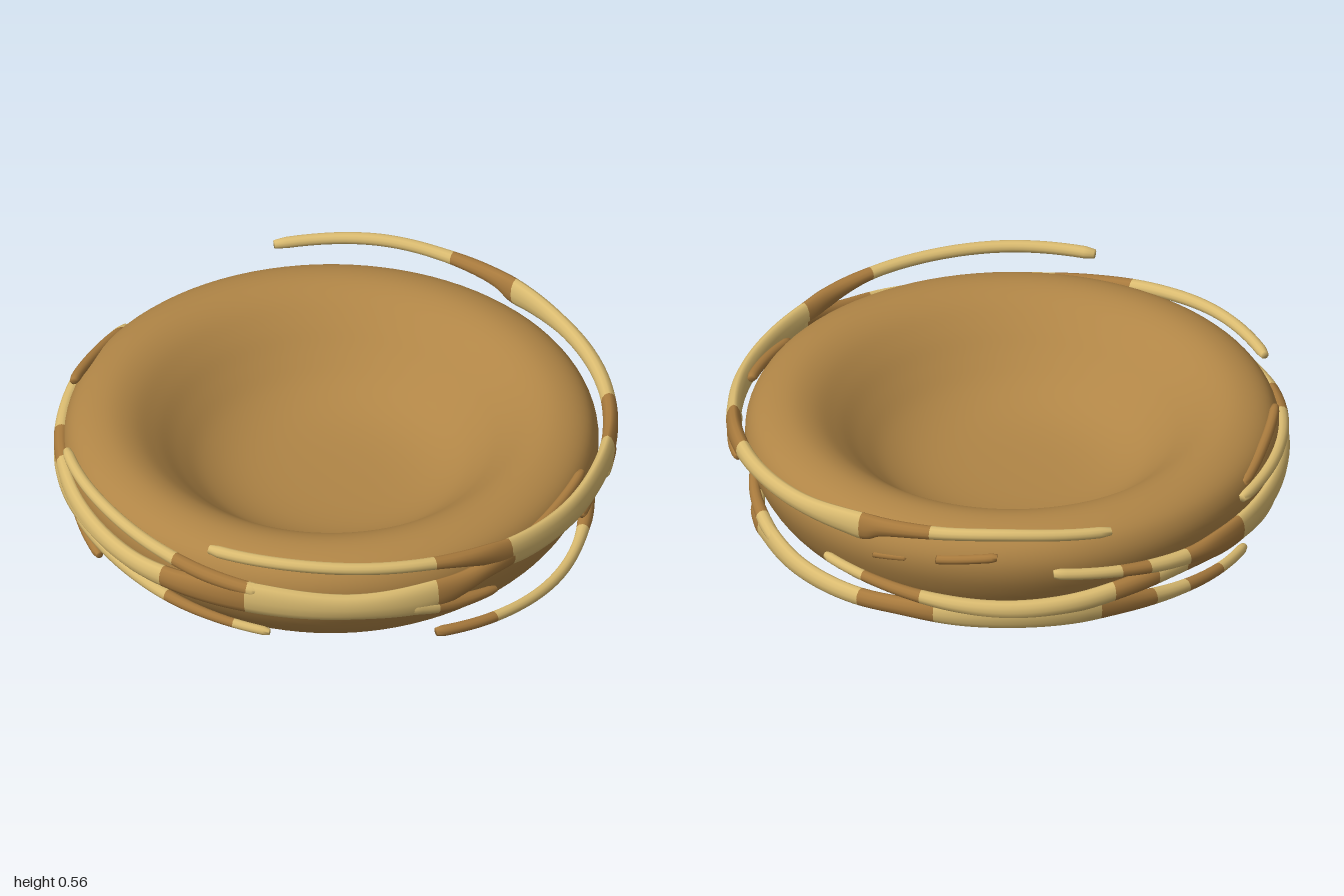
import * as THREE from 'three';

const mat = (name, color) => {
  const m = new THREE.MeshStandardMaterial({ color });
  m.name = name;
  return m;
};

export function createModel() {
  const model = new THREE.Group();
  const bowlTan = mat('bowl tan', 0xb08546);
  const paleStraw = mat('pale straw', 0xdabb70);
  const brownBark = mat('brown bark', 0xa87a3d);

  // Rounded bowl with a thick rolled rim
  const outline = [
    [0, 0], [0.3, 0.001], [0.5, 0.004], [0.62, 0.022], [0.74, 0.077], [0.86, 0.182], [0.925, 0.295],
    [0.943, 0.385], [0.918, 0.455], [0.86, 0.495], [0.78, 0.507], [0.7, 0.483], [0.62, 0.425],
    [0.54, 0.35], [0.45, 0.278], [0.34, 0.23], [0.2, 0.207], [0, 0.2],
  ].map(([x, y]) => new THREE.Vector2(x, y));
  const profile = new THREE.SplineCurve(outline).getPoints(80);
  profile.forEach((p) => { p.x = Math.max(p.x, 0); p.y = Math.max(p.y, 0); });
  const bowl = new THREE.Mesh(new THREE.LatheGeometry(profile, 96), bowlTan);
  bowl.name = 'bowl';
  bowl.position.set(-0.012, 0, -0.01);
  model.add(bowl);

  // A branch bent round the bowl. Points are [angle, height, half height, radius];
  // angle 0 is the front, 90 is +x. The colour flips at each angle in cuts.
  const branch = (name, points, cuts = [], startBrown = false) => {
    const path = new THREE.CatmullRomCurve3(
      points.map(([a, y, h]) => new THREE.Vector3(a, y, h)), false, 'catmullrom', 0.5);
    const radii = new THREE.CatmullRomCurve3(
      points.map((p) => new THREE.Vector3(p[3] ?? 0.965, 0, 0)), false, 'catmullrom', 0.5);
    const span = points[points.length - 1][0] - points[0][0];
    const steps = Math.max(12, Math.round(span / 1.5));
    const sides = 12;
    const pos = [], index = [], angles = [];
    const put = (a, r, y) => pos.push(r * Math.sin(a), y, r * Math.cos(a));
    for (let i = 0; i <= steps; i++) {
      const p = path.getPoint(i / steps), r = radii.getPoint(i / steps).x;
      const a = THREE.MathUtils.degToRad(p.x);
      const tip = i === 0 || i === steps ? 0.75 : 1;
      const h = p.z * tip, w = Math.min(p.z, 0.027) * tip;
      angles.push(p.x);
      for (let k = 0; k < sides; k++) {
        const t = (k / sides) * Math.PI * 2;
        put(a, r + w * Math.cos(t), p.y + h * Math.sin(t));
      }
    }
    const geo = new THREE.BufferGeometry();
    for (let i = 0; i < steps; i++) {
      const start = index.length;
      for (let k = 0; k < sides; k++) {
        const a = i * sides + k, b = i * sides + (k + 1) % sides;
        const c = a + sides, d = b + sides;
        index.push(a, c, b, b, c, d);
        // Flat end caps
        if (k > 0 && k < sides - 1) {
          if (i === 0) index.push(0, k, k + 1);
          if (i === steps - 1) index.push(steps * sides, steps * sides + k + 1, steps * sides + k);
        }
      }
      const mid = (angles[i] + angles[i + 1]) / 2;
      const flips = cuts.filter((c) => c < mid).length + (startBrown ? 1 : 0);
      geo.addGroup(start, index.length - start, flips % 2);
    }
    geo.setAttribute('position', new THREE.Float32BufferAttribute(pos, 3));
    geo.setIndex(index);
    geo.computeVertexNormals();
    const mesh = new THREE.Mesh(geo, [paleStraw, brownBark]);
    mesh.name = name;
    model.add(mesh);
  };

  // Upper branch, from the front right round the left side to the back
  branch('upperBranch', [
    [-49, 0.537, 0.022], [-30, 0.538, 0.022], [-10, 0.52, 0.022], [2, 0.502, 0.025],
    [12, 0.472, 0.042], [19, 0.442, 0.058], [35, 0.433, 0.055], [50, 0.435, 0.06],
    [62, 0.433, 0.06, 0.968], [70, 0.452, 0.045, 0.97], [82, 0.462, 0.034, 0.97], [100, 0.472, 0.036, 0.968],
    [112, 0.483, 0.048], [118, 0.488, 0.053], [123, 0.508, 0.034], [134, 0.526, 0.024],
    [150, 0.541, 0.022, 0.97], [171, 0.522, 0.02, 0.98],
  ], [0, 18, 60, 75, 117, 133]);
  branch('upperBranchFork', [[55, 0.4, 0.038], [62, 0.385, 0.034], [69, 0.365, 0.018]], [60]);

  // Middle branch, from the back round the right side to the front
  branch('middleBranch', [
    [208, 0.405, 0.02], [225, 0.402, 0.022], [245, 0.385, 0.026], [255, 0.37, 0.035],
    [270, 0.345, 0.042], [290, 0.335, 0.038], [302, 0.345, 0.045], [312, 0.36, 0.058],
    [322, 0.37, 0.065], [342, 0.362, 0.053], [358, 0.365, 0.065], [366, 0.388, 0.048],
    [372, 0.415, 0.04], [380, 0.44, 0.05],
  ], [246, 255, 300, 320, 360, 378]);
  branch('middleBranchFork', [[354, 0.34, 0.035], [363, 0.315, 0.028], [375, 0.29, 0.016, 0.945]], [360]);
  branch('sideTwig', [
    [260, 0.475, 0.02], [280, 0.475, 0.022], [298, 0.448, 0.024], [310, 0.422, 0.027], [322, 0.405, 0.025],
  ], [302, 320]);
  branch('sideLowerTwig', [
    [270, 0.32, 0.03], [285, 0.3, 0.028], [300, 0.255, 0.022, 0.955], [312, 0.23, 0.018, 0.945],
    [324, 0.21, 0.016, 0.935],
  ], [300, 316]);

  // Back branch that joins the middle one
  branch('backBranch', [
    [159, 0.365, 0.02, 0.96], [175, 0.335, 0.022], [190, 0.305, 0.032], [200, 0.295, 0.05],
    [215, 0.298, 0.05], [240, 0.315, 0.042], [265, 0.33, 0.035], [285, 0.335, 0.03],
  ], [174, 180, 190, 206]);
  branch('backLowerTwig', [
    [198, 0.28, 0.035, 0.955], [215, 0.252, 0.028, 0.95], [235, 0.222, 0.024, 0.935],
    [256, 0.165, 0.02, 0.915], [271, 0.13, 0.018, 0.9],
  ], [206, 252], true);

  // Lower branch, from the front round the left side to the back
  branch('lowerBranch', [
    [3, 0.11, 0.02, 0.85], [20, 0.09, 0.02, 0.865], [40, 0.07, 0.02, 0.875], [58, 0.075, 0.022, 0.88],
    [72, 0.11, 0.038, 0.89], [80, 0.136, 0.047, 0.895], [95, 0.136, 0.038, 0.902], [112, 0.148, 0.034, 0.912],
    [125, 0.172, 0.035, 0.925], [138, 0.188, 0.048, 0.94], [152, 0.198, 0.056, 0.945],
    [164, 0.198, 0.055, 0.945], [174, 0.182, 0.042, 0.93], [188, 0.145, 0.027, 0.905],
    [205, 0.11, 0.021, 0.892], [219, 0.085, 0.018, 0.885],
  ], [18, 60, 75, 115, 133, 169, 183, 194, 206], true);
  branch('lowerBranchFork', [
    [55, 0.2, 0.018, 0.89], [65, 0.188, 0.02, 0.898], [76, 0.165, 0.025, 0.898], [84, 0.15, 0.025, 0.898],
  ], [75], true);
  branch('backRisingTwig', [
    [106, 0.28, 0.018, 0.935], [118, 0.262, 0.02, 0.942], [132, 0.238, 0.025, 0.946], [148, 0.22, 0.035, 0.95],
    [162, 0.232, 0.037, 0.955], [175, 0.262, 0.036, 0.958], [188, 0.285, 0.036, 0.96], [200, 0.295, 0.045, 0.965],
  ], [116, 131, 172, 182, 190]);

  // Short sticks half sunk in the rim
  branch('frontRimStick', [[26, 0.428, 0.018, 0.925], [37, 0.452, 0.019, 0.922], [48, 0.475, 0.018, 0.924]], [], true);
  branch('backRimStick', [[211, 0.432, 0.018, 0.942], [224, 0.465, 0.019, 0.932], [237, 0.497, 0.018, 0.94]], [], true);
  branch('sideRimStickLow', [[119, 0.36, 0.015, 0.927], [127, 0.38, 0.015, 0.927]], [], true);
  branch('sideRimStickHigh', [[134, 0.4, 0.017, 0.937], [147, 0.427, 0.017, 0.937]], [], true);

  return model;
}
